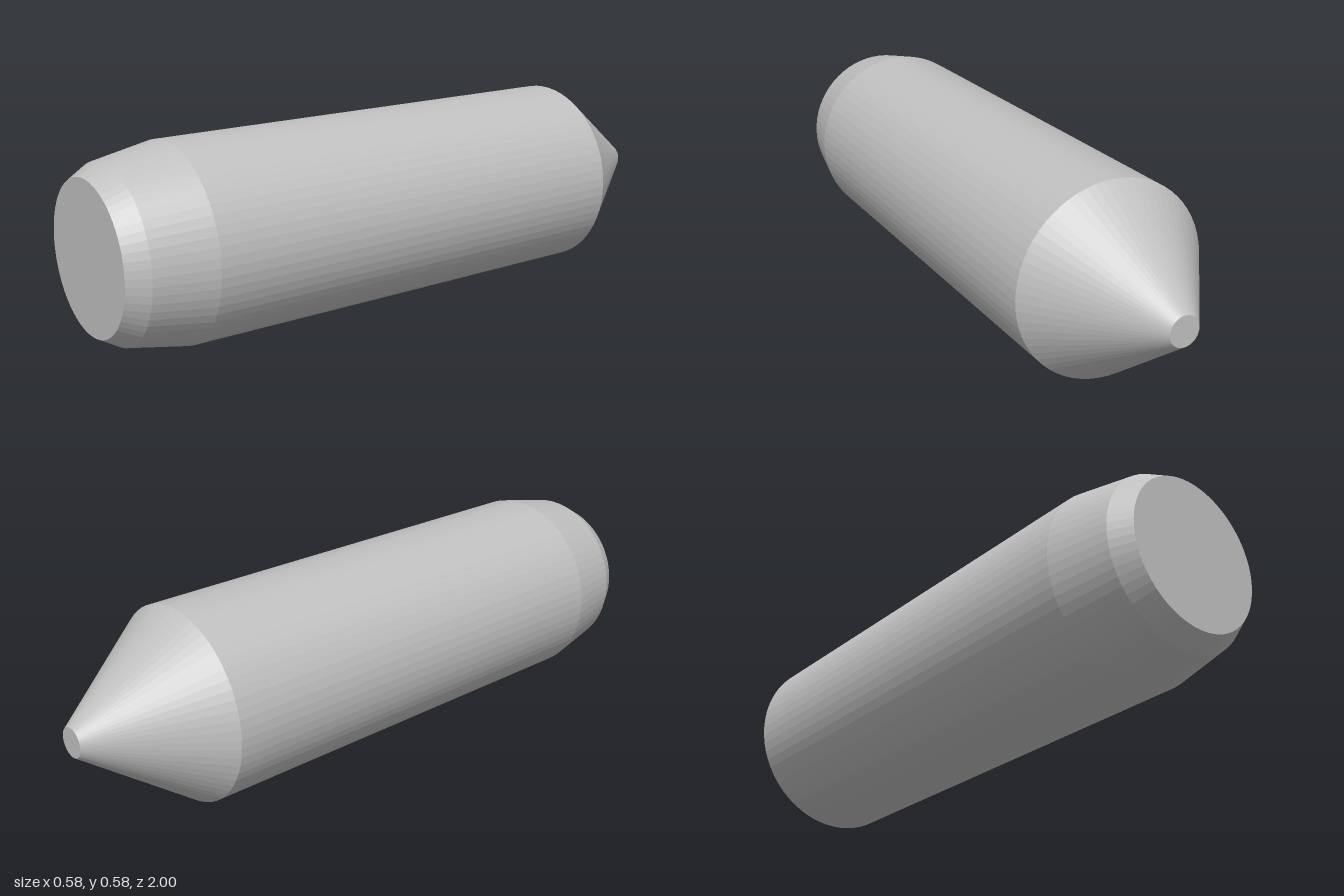
import * as THREE from 'three';

const SIDES = 64;
const AXIS_Y = 0.29;

export function createModel() {
  const model = new THREE.Group();
  const grey = new THREE.MeshStandardMaterial({ color: 0xc0c0c0 });
  grey.name = 'plain grey';

  function add(name, geometry, z) {
    // faceted normals
    const flat = geometry.toNonIndexed();
    flat.computeVertexNormals();
    const mesh = new THREE.Mesh(flat, grey);
    mesh.name = name;
    mesh.position.set(0, AXIS_Y, z);
    model.add(mesh);
  }

  // open ring of wall running along z from the back radius to the front radius
  function section(name, zBack, rBack, zFront, rFront) {
    const g = new THREE.CylinderGeometry(rFront, rBack, zFront - zBack, SIDES, 1, true);
    add(name, g.rotateX(Math.PI / 2), (zBack + zFront) / 2);
  }

  section('pointedTip', -1, 0.044, -0.66, 0.29);
  section('barrel', -0.66, 0.29, 0.76, 0.29);
  section('frontTaper', 0.76, 0.29, 0.94, 0.255);
  section('frontChamfer', 0.94, 0.255, 1, 0.22);

  // flat end faces
  const start = Math.PI / 2;
  add('frontFace', new THREE.CircleGeometry(0.22, SIDES, start), 1);
  add('tipFace', new THREE.CircleGeometry(0.044, SIDES, start).rotateY(Math.PI), -1);

  return model;
}
